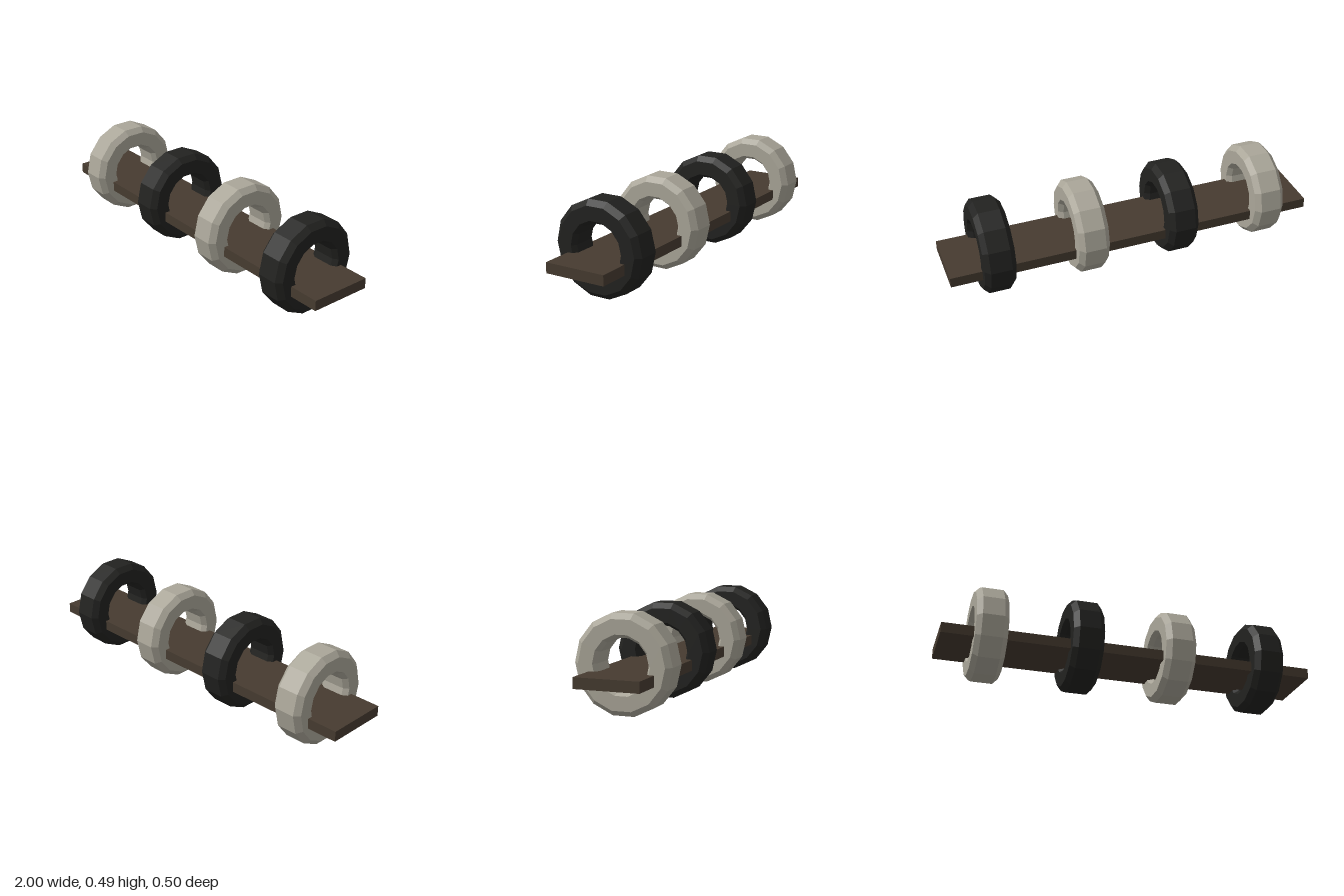
import * as THREE from 'three';

export function createModel() {
  const model = new THREE.Group();
  model.name = 'plankWithRings';

  const wood = new THREE.MeshStandardMaterial({ color: 0x463b30, flatShading: true });
  const pale = new THREE.MeshStandardMaterial({ color: 0xaaa699, flatShading: true });
  const dark = new THREE.MeshStandardMaterial({ color: 0x222220, flatShading: true });

  // Flat plank running through all the rings
  const plank = new THREE.Mesh(new THREE.BoxGeometry(2, 0.055, 0.333), wood);
  plank.name = 'plank';
  plank.position.y = 0.18;
  model.add(plank);

  // Chamfered ring section (radius, offset along the axle), 14 sides around
  const section = [
    [0.25, -0.056], [0.25, 0.056], [0.222, 0.083], [0.148, 0.083],
    [0.13, 0.056], [0.13, -0.056], [0.148, -0.083], [0.222, -0.083], [0.25, -0.056],
  ].map(([r, a]) => new THREE.Vector2(r, a));
  const ringGeometry = new THREE.LatheGeometry(section, 14).rotateZ(-Math.PI / 2);

  // Four rings in alternating colours
  for (let i = 0; i < 4; i++) {
    const ring = new THREE.Mesh(ringGeometry, i % 2 ? dark : pale);
    ring.name = i % 2 ? 'darkRing' : 'paleRing';
    ring.position.set(-0.75 + i * 0.5, 0.244, 0);
    model.add(ring);
  }
  return model;
}
